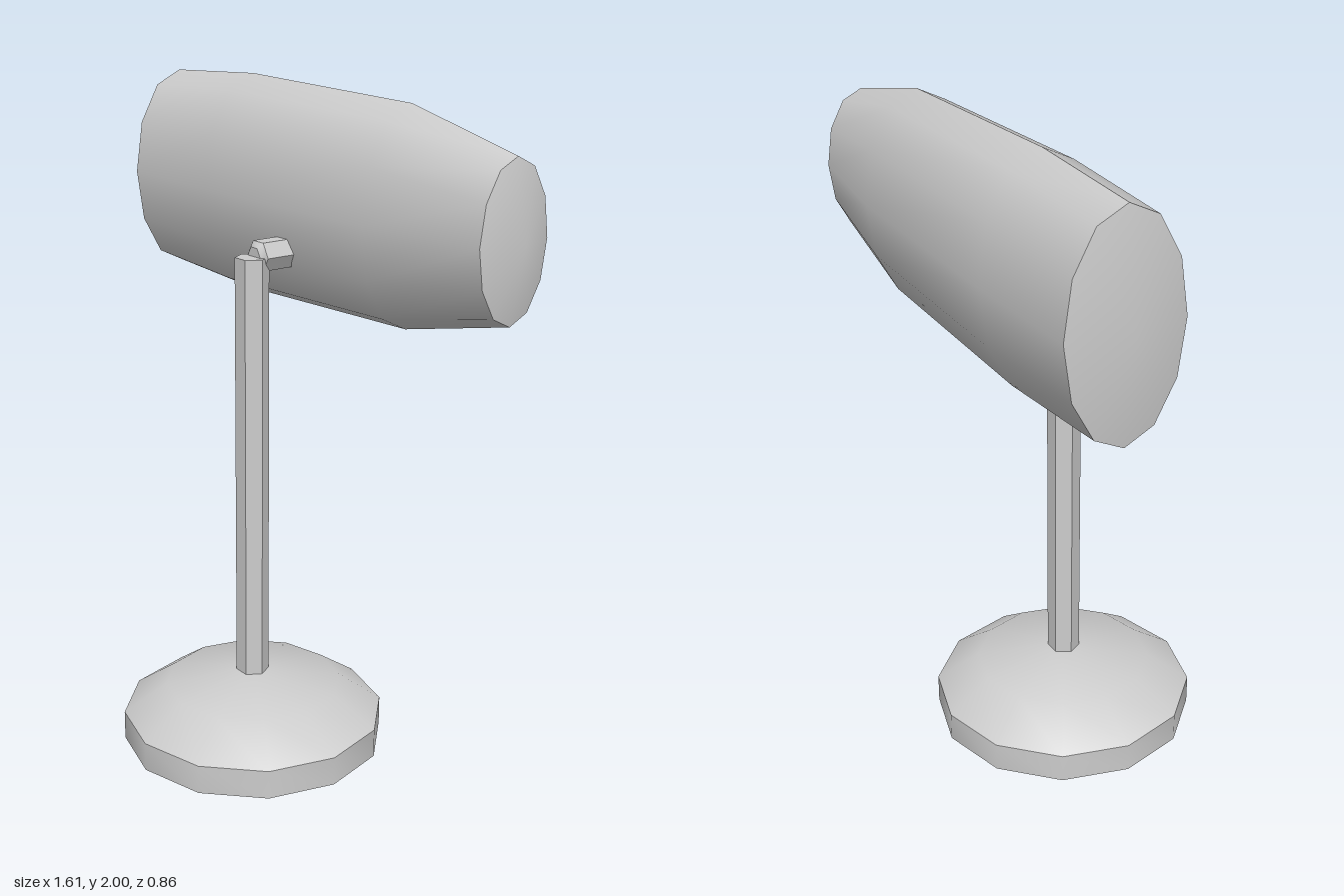
import * as THREE from 'three';
import { toCreasedNormals } from 'three/addons/utils/BufferGeometryUtils.js';

const material = new THREE.MeshStandardMaterial({ color: 0xcccccc });

// Faceted turned solid: profile is [radius, height] from bottom to top, a vertex on +x
function turned(profile, sides) {
  const points = profile.map(([r, y]) => new THREE.Vector2(r, y));
  return new THREE.LatheGeometry(points, sides, Math.PI / 2);
}

function addPart(group, name, geometry, x, y, z) {
  const mesh = new THREE.Mesh(toCreasedNormals(geometry, THREE.MathUtils.degToRad(42)), material);
  mesh.name = name;
  mesh.position.set(x, y, z);
  group.add(mesh);
}

export function createModel() {
  const group = new THREE.Group();
  group.name = 'lamp';

  // Low domed foot
  const base = turned([[0, 0], [0.405, 0], [0.405, 0.09], [0.272, 0.182], [0.05, 0.22], [0, 0.22]], 12);
  addPart(group, 'base', base, 0, 0, 0.025);

  // Hexagonal upright
  const pole = turned([[0, 0.18], [0.05, 0.18], [0.05, 1.53], [0, 1.53]], 6);
  addPart(group, 'pole', pole, 0, 0, 0.027);

  // Short hexagonal arm with a bevelled front end, running back into the head
  const arm = turned([[0, -0.13], [0.048, -0.13], [0.048, 0.005], [0.03, 0.02], [0, 0.02]], 6);
  arm.rotateX(Math.PI / 2);
  addPart(group, 'arm', arm, 0, 1.53, 0);

  // Tapered oval head lying along x, with shallow pointed end caps
  const head = turned([
    [0, -0.807], [0.313, -0.763], [0.335, -0.36], [0.315, 0.36], [0.223, 0.763], [0, 0.807],
  ], 12);
  head.rotateZ(-Math.PI / 2);
  head.scale(1, 1, 0.548);
  addPart(group, 'head', head, 0, 1.665, -0.245);

  return group;
}
